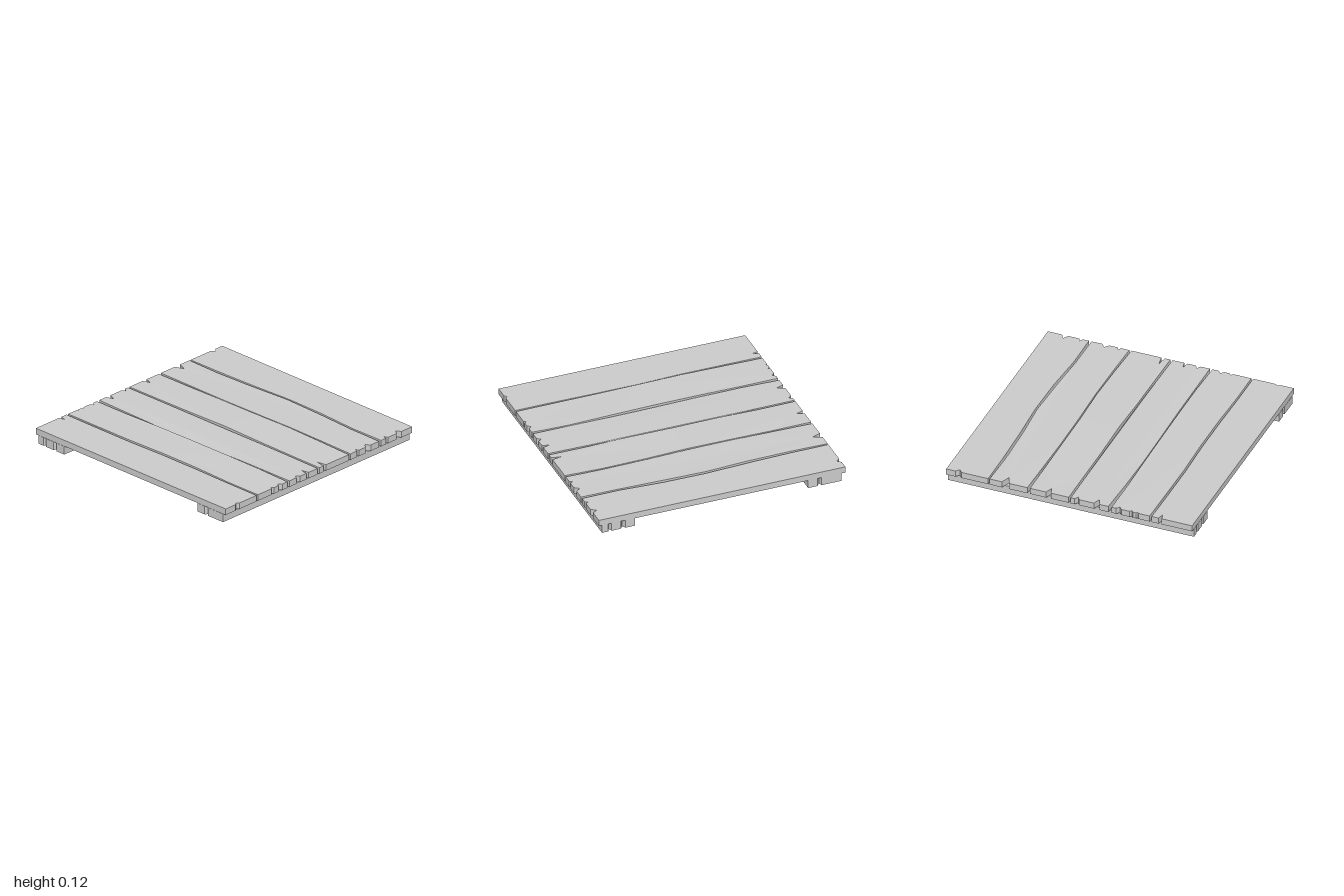
import * as THREE from 'three';

const material = new THREE.MeshStandardMaterial({ color: 0xcccccc, flatShading: true });
const X = [-1, -0.7, -0.35, 0, 0.35, 0.7, 0.995];

// Flat outline of [x, z] points, extruded upwards from y = bottom
function slab(points, bottom, height, name) {
  const shape = new THREE.Shape(points.map(([x, z]) => new THREE.Vector2(x, -z)));
  const geometry = new THREE.ExtrudeGeometry(shape, { depth: height, bevelEnabled: false });
  geometry.rotateX(-Math.PI / 2).translate(0, bottom, 0);
  const mesh = new THREE.Mesh(geometry, material);
  mesh.name = name;
  return mesh;
}

// Each plank: z of its back and front edges along X, split notches
// [z, depth, half width] at both ends, and its slight vertical warp
const planks = [
  { back: [-1, -1, -1, -1, -1, -1, -1],
    front: [-0.66, -0.662, -0.672, -0.69, -0.686, -0.664, -0.667],
    left: [[-0.9, 0.03, 0.025]], right: [[-0.86, 0.04, 0.025], [-0.73, 0.03, 0.012]], warp: 0 },
  { back: [-0.648, -0.642, -0.651, -0.673, -0.663, -0.648, -0.646],
    front: [-0.342, -0.336, -0.333, -0.336, -0.346, -0.346, -0.34],
    left: [[-0.52, 0.075, 0.028]], right: [[-0.53, 0.035, 0.028], [-0.42, 0.03, 0.012]], warp: 0.004 },
  { back: [-0.32, -0.323, -0.325, -0.325, -0.337, -0.333, -0.322],
    front: [-0.006, -0.008, -0.006, -0.013, -0.006, -0.008, -0.006],
    left: [[-0.17, 0.06, 0.02]], right: [[-0.065, 0.08, 0.014]], warp: 0.007 },
  { back: [0.01, 0.008, 0.003, 0.001, 0.001, 0.008, 0.012],
    front: [0.315, 0.325, 0.328, 0.322, 0.316, 0.316, 0.314],
    left: [[0.06, 0.03, 0.018], [0.22, 0.06, 0.022]],
    right: [[0.12, 0.06, 0.013], [0.22, 0.03, 0.02]], warp: -0.005 },
  { back: [0.342, 0.342, 0.338, 0.334, 0.329, 0.325, 0.335],
    front: [0.65, 0.655, 0.657, 0.648, 0.646, 0.652, 0.65],
    left: [[0.4, 0.025, 0.022], [0.5, 0.016, 0.014], [0.55, 0.012, 0.01]],
    right: [[0.41, 0.025, 0.022], [0.49, 0.02, 0.013]], warp: 0.007 },
  { back: [0.667, 0.67, 0.67, 0.66, 0.66, 0.665, 0.665],
    front: [0.995, 0.995, 0.995, 0.995, 0.995, 0.995, 0.995],
    left: [[0.735, 0.05, 0.013]], right: [[0.87, 0.016, 0.02]], warp: 0 },
];

function makePlank({ back, front, left, right, warp }, i) {
  const points = X.map((x, k) => [x, back[k]]);
  for (const [z, depth, half] of right) {
    points.push([0.995, z - half], [0.995 - depth, z], [0.995, z + half]);
  }
  for (let k = X.length - 1; k >= 0; k--) points.push([X[k], front[k]]);
  for (const [z, depth, half] of [...left].reverse()) {
    points.push([-1, z + half], [-1 + depth, z], [-1, z - half]);
  }
  const mesh = slab(points, 0.068, 0.05, 'plank' + (i + 1));

  // Bow the middle of the plank between the two rails
  const position = mesh.geometry.attributes.position;
  for (let k = 0; k < position.count; k++) {
    const x = position.getX(k);
    if (Math.abs(x) < 0.69) {
      position.setY(k, position.getY(k) + warp * Math.cos((x / 0.7) * Math.PI / 2));
    }
  }
  mesh.geometry.computeVertexNormals();
  return mesh;
}

// Supporting rail: two splits in its front end, one in its back end
function makeRail(name) {
  const points = [
    [-0.968, -0.997], [-0.81, -0.997], [-0.8, -0.965], [-0.775, -0.997], [-0.7, -0.997],
    [-0.7, 0.997], [-0.78, 0.997], [-0.795, 0.965], [-0.815, 0.997],
    [-0.89, 0.997], [-0.902, 0.965], [-0.918, 0.997], [-0.968, 0.997],
  ];
  return slab(points, 0, 0.068, name);
}

export function createModel() {
  const group = new THREE.Group();
  group.name = 'plankPlatform';
  planks.forEach((plank, i) => group.add(makePlank(plank, i)));

  // The second rail is the first turned half way round
  const rightRail = makeRail('rightRail');
  const leftRail = makeRail('leftRail');
  leftRail.rotation.y = Math.PI;
  group.add(rightRail, leftRail);
  return group;
}
